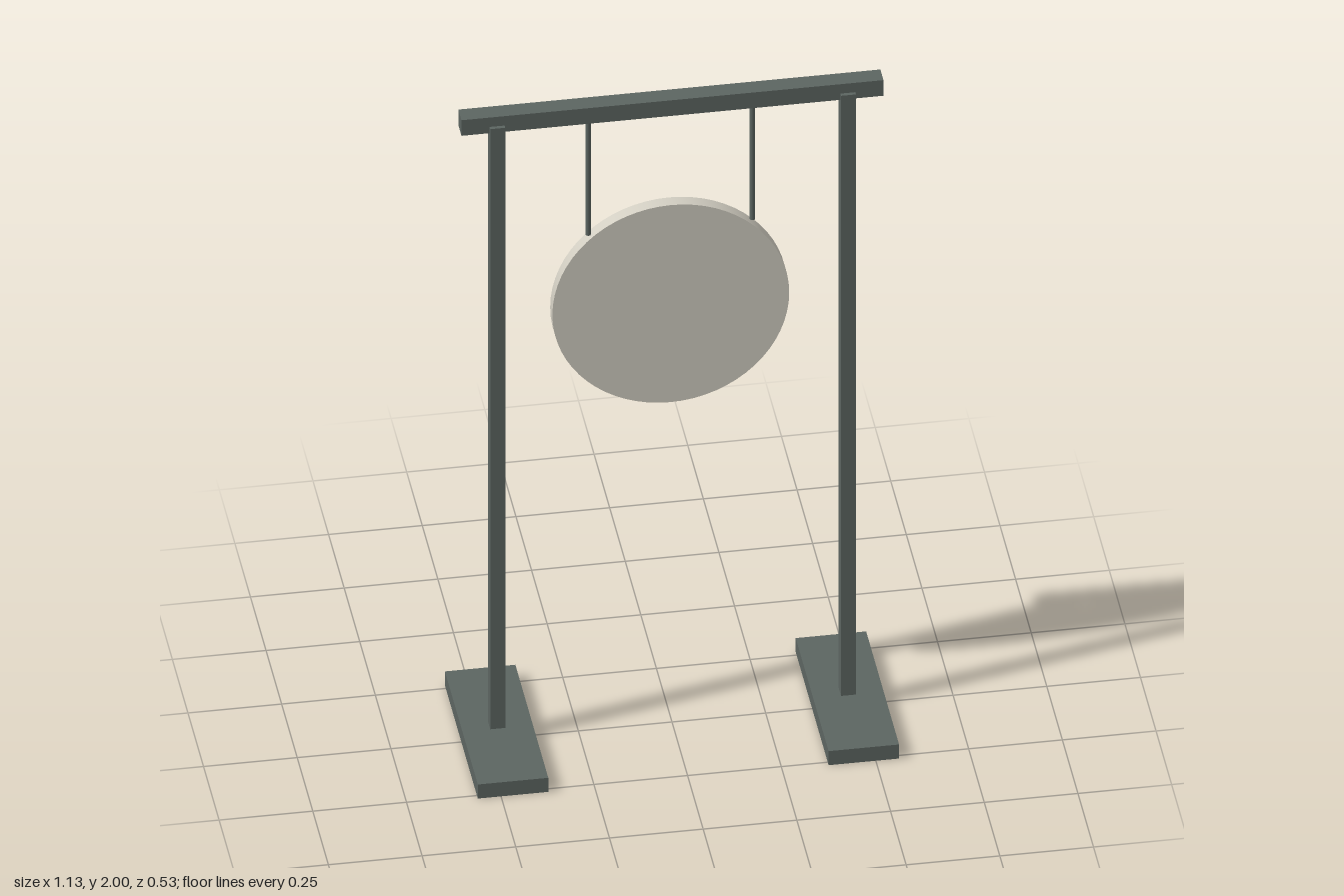
import * as THREE from 'three';

export function createModel() {
  const model = new THREE.Group();
  model.name = 'gongStand';

  const material = (name, color) => {
    const m = new THREE.MeshStandardMaterial({ color });
    m.name = name;
    return m;
  };
  const frame = material('dark grey green', 0x5c6561);
  const cream = material('cream', 0xd2cec2);
  const rust = material('rust red', 0xda704e);

  const add = (name, geometry, mat, x, y, z) => {
    const mesh = new THREE.Mesh(geometry, mat);
    mesh.name = name;
    mesh.position.set(x, y, z);
    model.add(mesh);
  };
  // disc whose axis runs front to back
  const disc = (radius, depth) =>
    new THREE.CylinderGeometry(radius, radius, depth, 64).rotateX(Math.PI / 2);

  // crossbeam, set slightly behind the posts
  add('crossbeam', new THREE.BoxGeometry(1.126, 0.05, 0.05), frame, 0, 1.975, -0.017);

  // foot, post and hanging rod on each side
  for (const [side, s] of [['left', 1], ['right', -1]]) {
    add(side + 'Foot', new THREE.BoxGeometry(0.188, 0.045, 0.528), frame, s * 0.468, 0.0225, 0);
    add(side + 'Post', new THREE.BoxGeometry(0.04, 1.925, 0.037), frame, s * 0.468, 1.0075, 0);
    add(side + 'HangingRod', new THREE.CylinderGeometry(0.007, 0.007, 0.38, 16), frame, s * 0.219, 1.76, -0.028);
  }

  // gong with a painted spot on the back
  add('gong', disc(0.316, 0.036), cream, 0, 1.329, -0.037);
  add('gongSpot', disc(0.057, 0.004), rust, 0, 1.329, -0.0555);

  return model;
}
